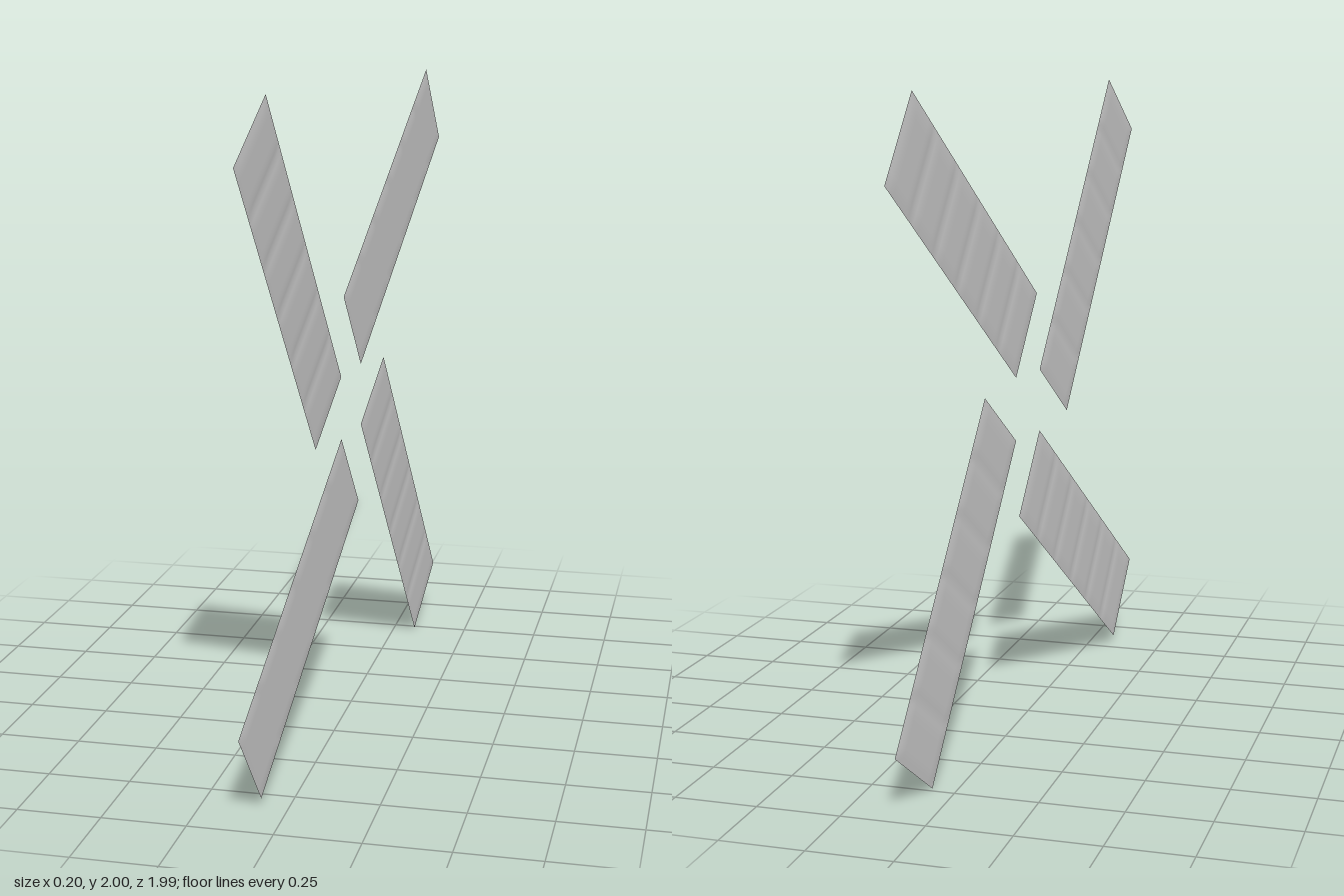
import * as THREE from 'three';
import { mergeGeometries } from 'three/addons/utils/BufferGeometryUtils.js';

const WIDTH = 0.298, LENGTH = 1.104, PANELS = 6, PUFF = 0.003;

// One skin of a sail: flat panels that dip to zero at the ribs and the rim
function sailSkin() {
  const g = new THREE.PlaneGeometry(WIDTH, LENGTH, 12, PANELS * 10);
  const p = g.attributes.position;
  const pitch = LENGTH / PANELS;
  for (let i = 0; i < p.count; i++) {
    const t = (p.getY(i) + LENGTH / 2) / pitch;
    const toRib = Math.abs(t - Math.round(t)) * pitch;
    const toSide = WIDTH / 2 - Math.abs(p.getX(i));
    p.setZ(i, PUFF * THREE.MathUtils.smoothstep(toRib, 0, 0.032)
      * THREE.MathUtils.smoothstep(toSide, 0, 0.024));
  }
  g.computeVertexNormals();
  return g;
}

export function createModel() {
  const model = new THREE.Group();
  model.name = 'windmillSails';
  const cloth = new THREE.MeshStandardMaterial({ color: 0xd2d2d2 });
  cloth.name = 'paleGreyCloth';

  // Two back-to-back skins, set beside the radial arm line
  const sail = mergeGeometries([sailSkin(), sailSkin().rotateY(Math.PI)]);
  sail.translate(0.1735, 0.137 + LENGTH / 2, 0);

  // Four sails around the hub, in a plane turned slightly off the side
  const rotor = new THREE.Group();
  rotor.name = 'rotor';
  for (let k = 0; k < 4; k++) {
    const blade = new THREE.Mesh(sail, cloth);
    blade.name = 'sail' + (k + 1);
    blade.rotation.z = -0.615 + k * Math.PI / 2;
    rotor.add(blade);
  }
  rotor.position.y = 1;
  rotor.rotation.y = -(Math.PI / 2 + 0.098);
  model.add(rotor);
  return model;
}
